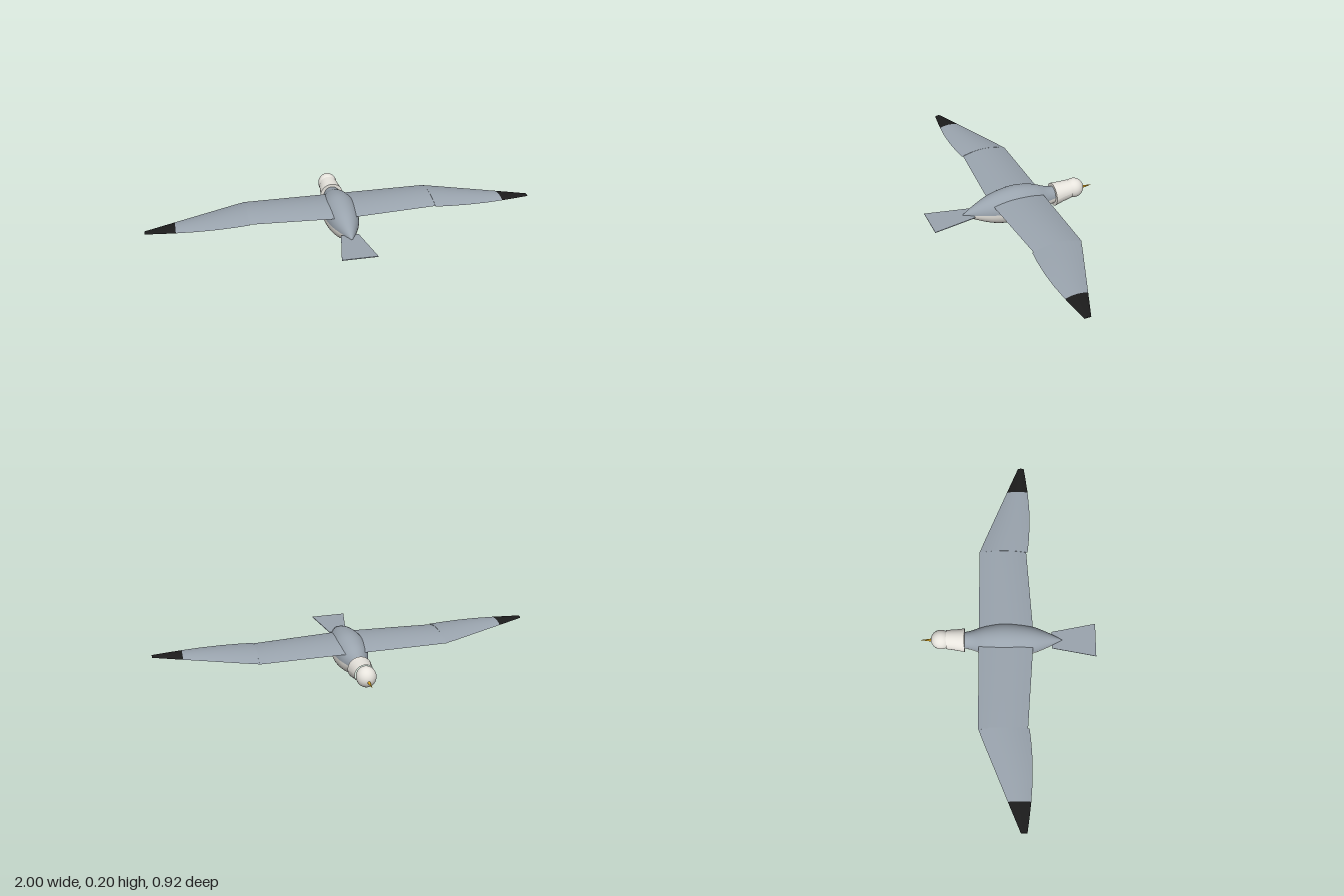
import * as THREE from 'three';

const paint = (name, color) => {
  const m = new THREE.MeshStandardMaterial({ color });
  m.name = name;
  return m;
};

// Smooth surface through rows of points; flip reverses the facing.
function loft(rows, flip = false) {
  const n = rows[0].length;
  const index = [];
  for (let i = 0; i < rows.length - 1; i++) {
    for (let j = 0; j < n - 1; j++) {
      const a = i * n + j, b = a + n, c = a + 1, d = b + 1;
      if (flip) index.push(a, c, b, b, c, d);
      else index.push(a, b, c, b, d, c);
    }
  }
  const g = new THREE.BufferGeometry();
  g.setAttribute('position', new THREE.Float32BufferAttribute(rows.flat(2), 3));
  g.setIndex(index);
  g.computeVertexNormals();
  return g;
}

// Elliptical arc of points in the plane z, from angle a0 to a1.
const arc = (z, cy, rx, ry, a0, a1, n = 24) =>
  Array.from({ length: n + 1 }, (_, i) => {
    const a = a0 + (a1 - a0) * i / n;
    return [rx * Math.cos(a), cy + ry * Math.sin(a), z];
  });

export function createModel() {
  const model = new THREE.Group();
  model.name = 'bird';
  const grey = paint('slate grey', 0x9aa4ae);
  const white = paint('warm white', 0xebe8e1);
  const black = paint('tip black', 0x1c1c1c);
  const yellow = paint('beak yellow', 0xdba520);

  const add = (parent, name, geometry, material) => {
    const mesh = new THREE.Mesh(geometry, material);
    mesh.name = name;
    parent.add(mesh);
    return mesh;
  };

  // Body: spindle split into grey back and white belly
  const profile = new THREE.SplineCurve([
    [0.285, 0.001], [0.215, 0.04], [0.115, 0.081], [-0.01, 0.1],
    [-0.11, 0.085], [-0.18, 0.058], [-0.225, 0.047], [-0.26, 0.045],
  ].map(([z, r]) => new THREE.Vector2(z, r))).getPoints(40);
  const half = (a0, a1) =>
    loft(profile.map(p => arc(p.x, 0.102, p.y * 0.91, p.y * 0.985, a0, a1)));
  add(model, 'back', half(0, Math.PI), grey);
  add(model, 'belly', half(Math.PI, 2 * Math.PI), white);

  // Neck collar and head
  const collar = [[-0.225, 0.102, 0.062], [-0.27, 0.108, 0.055], [-0.32, 0.114, 0.05]];
  add(model, 'neck', loft(collar.map(([z, y, r]) => arc(z, y, r, r, 0, 2 * Math.PI, 32))), white);
  add(model, 'neckBase', new THREE.CircleGeometry(0.062, 32), white).position.set(0, 0.102, -0.225);
  const head = add(model, 'head', new THREE.SphereGeometry(0.053, 32, 20), white);
  head.scale.x = 0.95;
  head.position.set(0, 0.115, -0.348);

  // Beak
  const beak = add(model, 'beak', new THREE.ConeGeometry(0.01, 0.08, 16), yellow);
  beak.rotation.x = -Math.PI / 2;
  beak.position.set(0, 0.107, -0.42);

  // Tail: thin fan
  const fan = new THREE.Shape([[-0.045, 0.23], [0.045, 0.23], [0.09, 0.46], [-0.09, 0.46]]
    .map(([x, z]) => new THREE.Vector2(x, z)));
  const tail = new THREE.ExtrudeGeometry(fan, { depth: 0.004, bevelEnabled: false });
  tail.rotateX(Math.PI / 2);
  add(model, 'tail', tail, grey).position.y = 0.103;

  // Wing panels: stations are [x, leading z, trailing z, thickness]
  const panels = [
    ['innerWing', [[0.04, -0.15, 0.132, 0.025], [0.28, -0.15, 0.115, 0.025],
      [0.49, -0.15, 0.1, 0.023]], grey, white],
    ['outerWing', [[0.485, -0.15, 0.108, 0.024], [0.56, -0.121, 0.116, 0.022],
      [0.65, -0.084, 0.121, 0.019], [0.75, -0.043, 0.12, 0.015],
      [0.85, -0.002, 0.112, 0.011]], grey, white],
    ['wingTip', [[0.85, -0.002, 0.112, 0.011], [0.93, 0.031, 0.102, 0.007],
      [1, 0.06, 0.092, 0.004]], black, black],
  ];
  const floor = 0.146, steps = 12;
  for (const side of [1, -1]) {
    const wing = new THREE.Group();
    wing.name = side > 0 ? 'leftWing' : 'rightWing';
    model.add(wing);
    const flip = side < 0;
    // Chordwise row from leading to trailing edge, arched by the thickness
    const row = ([x, lead, trail, thick], arched) =>
      Array.from({ length: steps + 1 }, (_, i) => {
        const t = i / steps;
        const rise = arched ? thick * 4 * t * (1 - t) : 0;
        return [side * x, floor + rise, lead + (trail - lead) * t];
      });
    for (const [name, stations, top, under] of panels) {
      add(wing, name + 'Top', loft(stations.map(s => row(s, true)), !flip), top);
      add(wing, name + 'Underside', loft(stations.map(s => row(s, false)), flip), under);
      const first = stations[0], last = stations[stations.length - 1];
      add(wing, name + 'RootCap', loft([row(first, false), row(first, true)], !flip), top);
      add(wing, name + 'EndCap', loft([row(last, false), row(last, true)], flip), top);
    }
  }
  return model;
}
